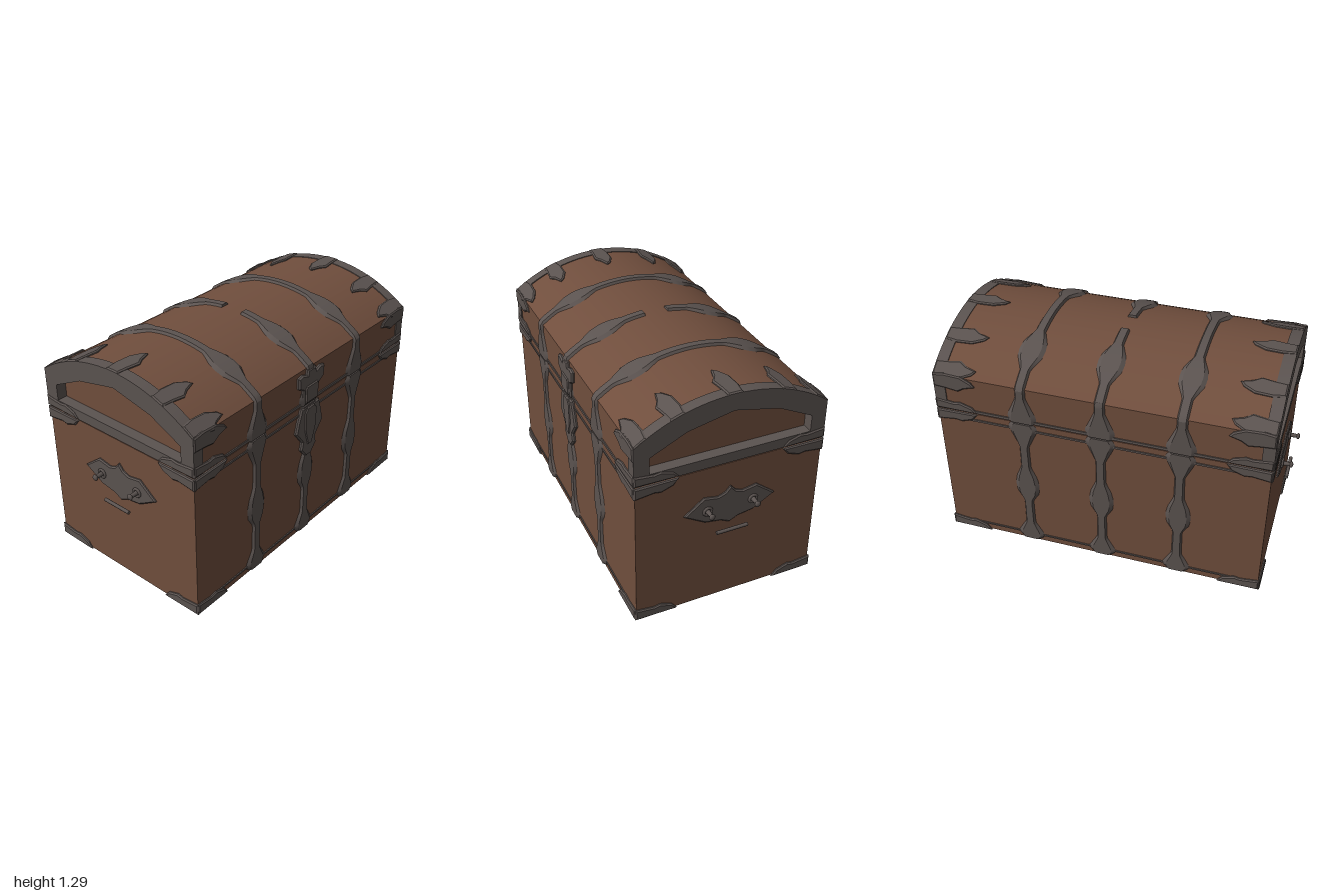
import * as THREE from 'three';
import { toCreasedNormals } from 'three/addons/utils/BufferGeometryUtils.js';

const wood = new THREE.MeshStandardMaterial({ color: 0x704e3d });
wood.name = 'wood';
const metal = new THREE.MeshStandardMaterial({ color: 0x5b5350 });
metal.name = 'iron';

const W = 0.925, D = 0.522; // half width and half depth of the box
const R = 0.87, CY = 0.41, ARC = Math.asin(D / R); // lid arch circle
const SEAM = 0.888;

export function createModel() {
  const model = new THREE.Group();
  model.name = 'chest';

  const add = (name, geometry, material = metal, parent = model) => {
    const mesh = new THREE.Mesh(geometry, material);
    mesh.name = name;
    parent.add(mesh);
    return mesh;
  };
  const toShape = (pts) => new THREE.Shape(pts.map(([x, y]) => new THREE.Vector2(x, y)));
  const mirror = (pts) => pts.map(([x, y]) => [-x, y]);
  // full symmetric outline from its right half
  const both = (pts) => [...pts, ...mirror(pts).reverse()];

  // thin bevelled plate standing on the plane z = 0
  const plateGeo = (pts, t = 0.01) =>
    new THREE.ExtrudeGeometry(toShape(pts), {
      depth: t * 0.5, bevelThickness: t * 0.5, bevelSize: 0.008, bevelOffset: -0.008, bevelSegments: 1,
    });
  // plate on one of the four walls: angle 0 front, PI back, +-PI/2 ends
  const wallPlate = (name, pts, angle, dist, t) =>
    add(name, plateGeo(pts, t).translate(0, 0, dist).rotateY(angle));

  // outline of the lid in (z, y)
  const lidOutline = () => {
    const pts = [[D, SEAM]];
    for (let i = 0; i <= 24; i++) {
      const a = ARC * (1 - i / 12);
      pts.push([Math.sin(a) * R, CY + Math.cos(a) * R]);
    }
    pts.push([-D, SEAM]);
    return pts;
  };
  // extrude a (z, y) shape along x from x0 to x1
  const alongX = (shape, x0, x1) =>
    toCreasedNormals(
      new THREE.ExtrudeGeometry(shape, { depth: x1 - x0, bevelEnabled: false })
        .rotateY(Math.PI / 2).scale(1, 1, 1).translate(x0, 0, 0), 0.4);

  // wooden box and lid
  add('box', new THREE.BoxGeometry(W * 2, 0.87, D * 2).translate(0, 0.445, 0), wood);
  add('lid', alongX(toShape(lidOutline()), -0.87, 0.87), wood);

  // arched iron rims around the recessed lid ends
  const rimShape = toShape(lidOutline().map(([z, y]) => [z * 1.012, y === SEAM ? y : y + 0.004]));
  rimShape.holes.push(new THREE.Path(
    both([[0.445, 0.945], [0.445, 1.04], [0.25, 1.135], [0, 1.19]])
      .map(([x, y]) => new THREE.Vector2(x, y))));
  for (const s of [-1, 1]) {
    add('lidRim', alongX(rimShape, s > 0 ? 0.865 : -0.93, s > 0 ? 0.93 : -0.865));
  }

  // strap with varying half width along a (z, y) path; stations are [distance, half width]
  const strapGeo = (pathPts, stations, x, thick = 0.014) => {
    const path = new THREE.Path(pathPts.map(([z, y]) => new THREE.Vector2(z, y)));
    const total = path.getLength();
    const end = stations[stations.length - 1][0];
    const pos = [], idx = [], n = 48;
    for (let i = 0; i <= n; i++) {
      const s = stations[0][0] + (end - stations[0][0]) * (i / n);
      let k = 1;
      while (k < stations.length - 1 && stations[k][0] < s) k++;
      const [s0, w0] = stations[k - 1], [s1, w1] = stations[k];
      const w = THREE.MathUtils.lerp(w0, w1, (s - s0) / (s1 - s0));
      const u = Math.min(s / total, 1);
      const p = path.getPoint(u), t = path.getTangent(u);
      for (const [a, h] of [[-1, -0.004], [-0.65, thick], [0.65, thick], [1, -0.004]]) {
        pos.push(x + a * w, p.y - t.x * h, p.x + t.y * h);
      }
      if (i < n) for (let j = 0; j < 3; j++) {
        const a = i * 4 + j, b = a + 1, c = a + 4, d = a + 5;
        idx.push(a, b, d, a, d, c);
      }
    }
    const last = n * 4;
    idx.push(0, 2, 1, 0, 3, 2, last, last + 1, last + 2, last, last + 2, last + 3);
    const g = new THREE.BufferGeometry();
    g.setAttribute('position', new THREE.Float32BufferAttribute(pos, 3));
    g.setIndex(idx);
    return toCreasedNormals(g, 0.5);
  };

  // three straps, front and back, on the box and over the lid
  const boxStations = [[0, 0.06], [0.03, 0.092], [0.06, 0.075], [0.13, 0.032], [0.3, 0.03], [0.36, 0.07],
    [0.42, 0.078], [0.48, 0.065], [0.55, 0.032], [0.7, 0.03], [0.78, 0.07], [0.83, 0.095], [0.86, 0.07]];
  const lidStations = [[0, 0.085], [0.04, 0.09], [0.09, 0.065], [0.16, 0.032], [0.33, 0.032], [0.41, 0.075],
    [0.46, 0.08], [0.51, 0.072], [0.59, 0.032]];
  const lidPath = lidOutline();
  for (const x of [-0.45, -0.01, 0.43]) {
    const lidEnd = x === -0.01 ? 0.71 : 0.785;
    for (const angle of [0, Math.PI]) {
      const sx = angle ? -x : x;
      add('boxStrap', strapGeo([[D, 0.02], [D, 0.88]], boxStations, sx).rotateY(angle));
      add('lidStrap', strapGeo(lidPath, [...lidStations, [lidEnd, 0.03]], sx).rotateY(angle));
    }
  }

  // corner plates and thin edge strips on all four walls
  const leaf = (half, len, y, h) => [[half, y], [half - len, y], [half - len + 0.03, y + h * 0.55],
    [half - len * 0.6, y + h * 0.9], [half - len * 0.45, y + h * 0.8], [half, y + h]];
  for (let i = 0; i < 4; i++) {
    const angle = i * Math.PI / 2;
    const isEnd = i % 2 === 1;
    const half = isEnd ? D + 0.008 : W + 0.006;
    const dist = isEnd ? W : D;
    for (const [name, y, h] of [['bottomCorner', 0.006, 0.068], ['topCorner', 0.88, -0.068], ['lidCorner', SEAM + 0.002, 0.06]]) {
      const pts = leaf(half, 0.24, y, h);
      wallPlate(name, pts, angle, dist, 0.012);
      wallPlate(name, mirror(pts), angle, dist, 0.012);
    }
    if (!isEnd) for (const [y, h] of [[0.055, 0.01], [0.838, 0.012], [0.897, 0.016]]) {
      add('edgeStrip', new THREE.BoxGeometry(W * 2, h, 0.012).translate(0, y, dist).rotateY(angle));
    }
  }

  // rounded corner plates under the box
  for (const sx of [-1, 1]) for (const sz of [-1, 1]) {
    const pts = [[W, D], [W - 0.22, D], [W - 0.17, D - 0.09], [W - 0.09, D - 0.17], [W, D - 0.2]]
      .map(([x, z]) => [x * sx, z * sz]);
    add('underCorner', plateGeo(pts, 0.008).rotateX(Math.PI / 2).translate(0, 0.008, 0));
  }

  // leaf clips gripping the lid rims
  const clip = [[0.93, -0.04], [0.86, -0.045], [0.79, -0.055], [0.75, -0.03], [0.69, -0.012], [0.71, 0.015],
    [0.77, 0.045], [0.86, 0.05], [0.93, 0.04]];
  for (const pts of [clip, mirror(clip)]) {
    for (const z of [-0.49, -0.3, 0, 0.3, 0.49]) {
      const a = Math.asin(z / R);
      add('rimClip', plateGeo(pts, 0.012).translate(0, 0, R - 0.001).rotateX(a - Math.PI / 2).translate(0, CY, 0));
    }
    for (const angle of [0, Math.PI]) {
      wallPlate('rimClip', pts.map(([x, y]) => [x, y + 1.075]), angle, D, 0.012);
    }
  }

  // lock: plate on the box, hasp on the lid
  const lock = new THREE.Group();
  lock.name = 'lock';
  lock.position.x = -0.005;
  model.add(lock);
  const lockPart = (name, pts, t) => add(name, plateGeo(pts, t).translate(0, 0, D), metal, lock);
  lockPart('lockPlate', both([[0.025, 0.545], [0.07, 0.6], [0.06, 0.65], [0.122, 0.73], [0.105, 0.8], [0.08, 0.875]]), 0.018);
  lockPart('lockBoss', both([[0.02, 0.62], [0.05, 0.72], [0.055, 0.84], [0.03, 0.87]]), 0.024);
  lockPart('hasp', both([[0.065, 0.89], [0.07, 0.985], [0.11, 1.01], [0.115, 1.075], [0.08, 1.085], [0.04, 1.07], [0.035, 1.1]]), 0.018);
  lockPart('haspPanel', both([[0.055, 0.9], [0.06, 0.99], [0.05, 1.01]]), 0.025);

  // end handles: pointed plate, two ringed pins, hanging bar
  const plate = [[0, 0.505], [0.05, 0.53], [0.14, 0.545], [0.26, 0.618], [0.15, 0.705], [0.07, 0.69], [0.03, 0.705], [0, 0.74]];
  for (const angle of [Math.PI / 2, -Math.PI / 2]) {
    wallPlate('handlePlate', [...plate, ...mirror(plate).slice(1, -1).reverse()], angle, W, 0.012);
    for (const u of [-0.13, 0.13]) {
      add('handlePin', new THREE.CylinderGeometry(0.01, 0.014, 0.072, 8)
        .rotateX(Math.PI / 2).translate(u, 0.62, W + 0.036).rotateY(angle));
      add('handleRosette', new THREE.TorusGeometry(0.022, 0.008, 6, 12)
        .translate(u, 0.62, W + 0.015).rotateY(angle));
      add('handleKnob', new THREE.SphereGeometry(0.018, 8, 6).scale(1, 1, 0.6)
        .translate(u, 0.62, 0.989).rotateY(angle));
    }
    add('handleBar', new THREE.CylinderGeometry(0.01, 0.01, 0.18, 8)
      .rotateZ(Math.PI / 2).translate(0, 0.485, 0.968).rotateY(angle));
  }
  return model;
}
